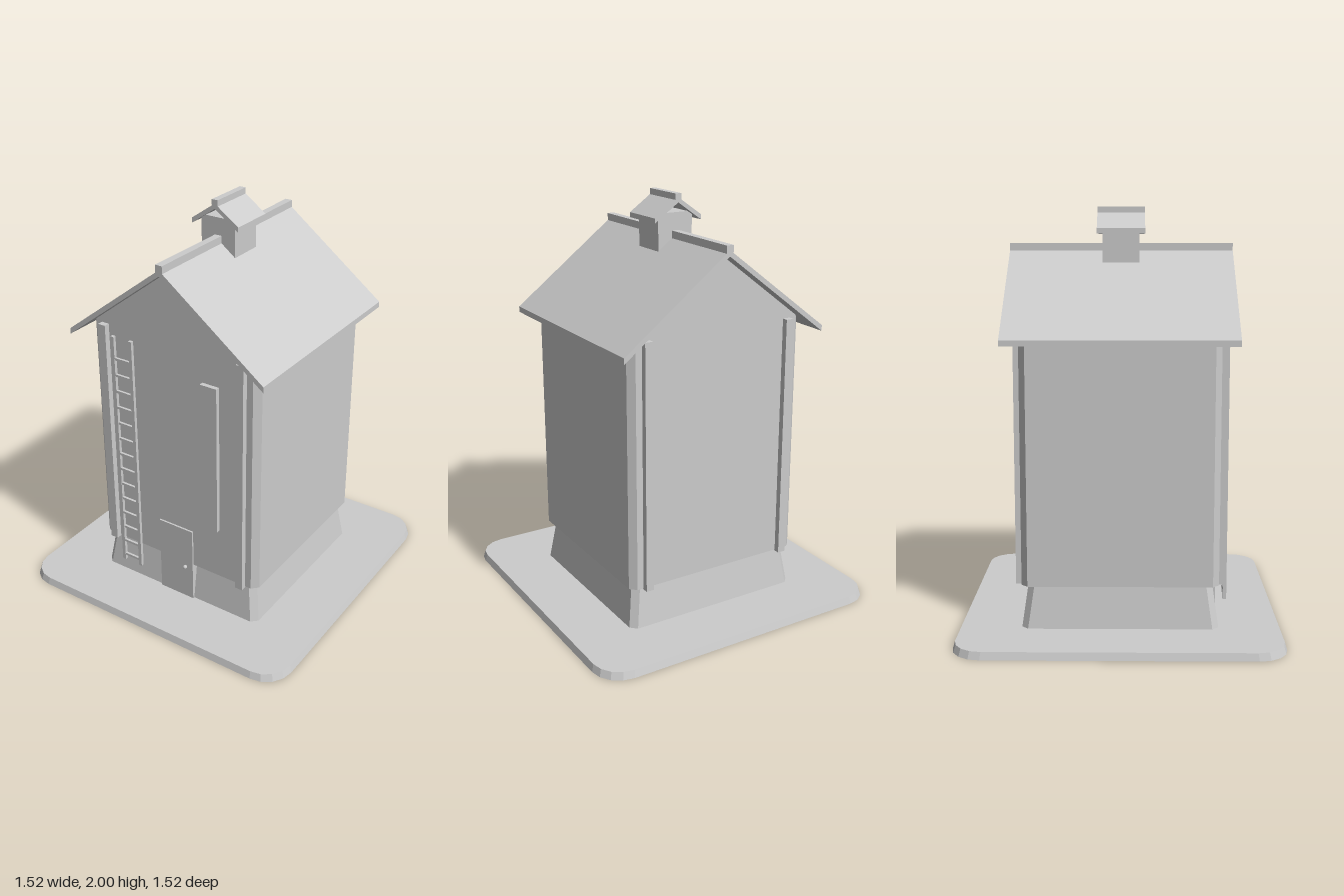
import * as THREE from 'three';
import { ConvexGeometry } from 'three/addons/geometries/ConvexGeometry.js';

const grey = new THREE.MeshStandardMaterial({ color: 0xcccccc });
grey.name = 'light grey';

const V = (x, y, z) => new THREE.Vector3(x, y, z);

// square outline with rounded (n > 1) or chamfered (n = 1) corners
function ring(half, r, y, n = 1) {
  const pts = [];
  for (let q = 0; q < 4; q++) {
    for (let i = 0; i <= n; i++) {
      const a = (q + i / n) * Math.PI / 2;
      const sx = q === 0 || q === 3 ? 1 : -1;
      const sz = q < 2 ? 1 : -1;
      pts.push(V(sx * (half - r) + r * Math.cos(a), y, sz * (half - r) + r * Math.sin(a)));
    }
  }
  return pts;
}

export function createModel() {
  const model = new THREE.Group();
  model.name = 'tallBarn';

  function add(parent, name, geometry, x = 0, y = 0, z = 0) {
    const mesh = new THREE.Mesh(geometry, grey);
    mesh.name = name;
    mesh.position.set(x, y, z);
    parent.add(mesh);
    return mesh;
  }

  // box given by its limits
  function box(parent, name, x0, x1, y0, y1, z0, z1) {
    return add(parent, name, new THREE.BoxGeometry(x1 - x0, y1 - y0, z1 - z0),
      (x0 + x1) / 2, (y0 + y1) / 2, (z0 + z1) / 2);
  }

  // chevron roof of two sloping slabs
  function roof(parent, name, halfWidth, eave, peak, thick, halfDepth) {
    const s = new THREE.Shape();
    s.moveTo(-halfWidth, eave);
    s.lineTo(0, peak);
    s.lineTo(halfWidth, eave);
    s.lineTo(halfWidth, eave + thick);
    s.lineTo(0, peak + thick);
    s.lineTo(-halfWidth, eave + thick);
    s.closePath();
    const g = new THREE.ExtrudeGeometry(s, { depth: halfDepth * 2, bevelEnabled: false });
    g.translate(0, 0, -halfDepth);
    return add(parent, name, g);
  }

  // ground slab and flared plinth
  add(model, 'baseSlab', new ConvexGeometry([...ring(0.76, 0.14, 0, 4), ...ring(0.75, 0.135, 0.035, 4)]));
  add(model, 'plinth', new ConvexGeometry([...ring(0.463, 0.03, 0.03), ...ring(0.432, 0.03, 0.245)]));

  // gabled body with chamfered corners
  const slope = 0.764, under = 1.776;
  const wallTop = ring(0.463, 0.03, 0).map(p => V(p.x, under - slope * Math.abs(p.x), p.z));
  add(model, 'body', new ConvexGeometry([...ring(0.463, 0.03, 0.24), ...wallTop,
    V(0, under, 0.463), V(0, under, -0.463)]));

  // upright boards near the corners, front and back
  for (const sx of [-1, 1]) {
    for (const sz of [-1, 1]) {
      const board = new THREE.BoxGeometry(0.04, 1.2, 0.035);
      add(model, 'cornerBoard', board, sx * 0.381, 0.835, sz * 0.4745);
    }
  }

  // main roof and ridge
  roof(model, 'mainRoof', 0.532, 1.37, 1.776, 0.028, 0.54);
  box(model, 'mainRidge', -0.018, 0.018, 1.775, 1.826, -0.54, 0.54);

  // cupola
  const cupola = new THREE.Group();
  cupola.name = 'cupola';
  model.add(cupola);
  box(cupola, 'cupolaBox', -0.092, 0.092, 1.69, 1.91, -0.088, 0.088);
  roof(cupola, 'cupolaRoof', 0.126, 1.87, 1.958, 0.024, 0.115);
  box(cupola, 'cupolaRidge', -0.016, 0.016, 1.965, 2.0, -0.115, 0.115);

  // ladder
  const ladder = new THREE.Group();
  ladder.name = 'ladder';
  model.add(ladder);
  for (const x of [-0.309, -0.206]) {
    box(ladder, 'ladderRail', x - 0.009, x + 0.009, 0.135, 1.4, 0.492, 0.508);
  }
  for (let i = 0; i < 14; i++) {
    const y = 0.168 + i * 0.086;
    box(ladder, 'ladderRung', -0.305, -0.21, y - 0.006, y + 0.006, 0.494, 0.506);
  }

  // door, knob and tall panel
  box(model, 'door', -0.098, 0.098, 0.035, 0.44, 0.4, 0.472);
  add(model, 'doorKnob', new THREE.SphereGeometry(0.011, 12, 8), 0.056, 0.218, 0.479);
  box(model, 'tallPanel', 0.165, 0.255, 0.512, 1.28, 0.45, 0.485);

  return model;
}
